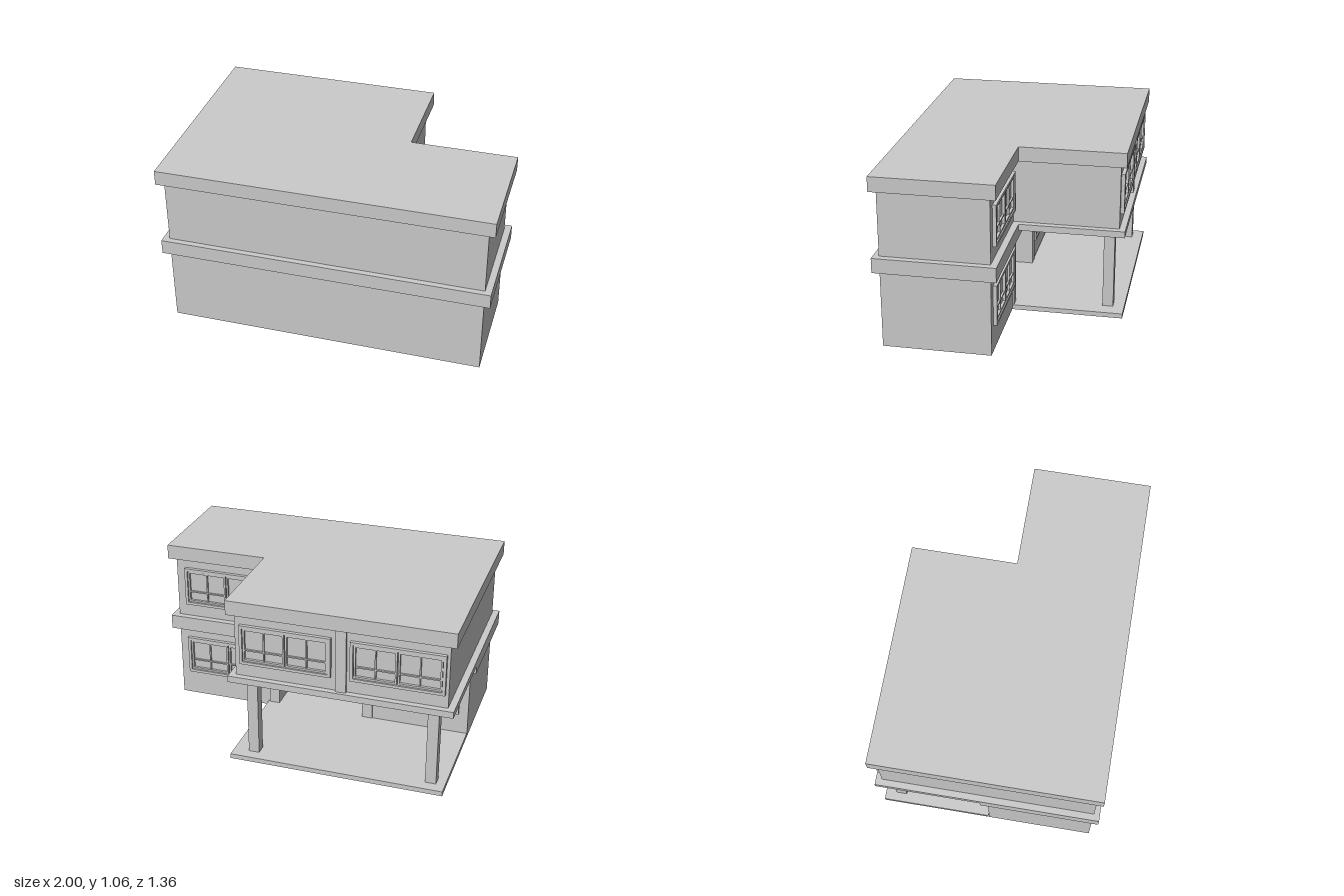
import * as THREE from 'three';

const grey = new THREE.MeshStandardMaterial({ color: 0xcccccc, flatShading: true });
const greyThin = new THREE.MeshStandardMaterial({ color: 0xcccccc, flatShading: true, side: THREE.DoubleSide });

// Box given by its extents on each axis
function box(parent, name, x0, x1, y0, y1, z0, z1) {
  const mesh = new THREE.Mesh(new THREE.BoxGeometry(x1 - x0, y1 - y0, z1 - z0), grey);
  mesh.position.set((x0 + x1) / 2, (y0 + y1) / 2, (z0 + z1) / 2);
  mesh.name = name;
  parent.add(mesh);
  return mesh;
}

// Flat slab with an outline in x and z
function slab(parent, name, outline, y0, y1) {
  const shape = new THREE.Shape(outline.map(([x, z]) => new THREE.Vector2(x, z)));
  const geo = new THREE.ExtrudeGeometry(shape, { depth: y1 - y0, bevelEnabled: false });
  geo.rotateX(Math.PI / 2).translate(0, y1, 0);
  const mesh = new THREE.Mesh(geo, grey);
  mesh.name = name;
  parent.add(mesh);
}

// Thin upright walls along a closed outline, open above and below
function wallLoop(parent, name, outline, y0, y1) {
  const pos = [];
  outline.forEach(([ax, az], i) => {
    const [bx, bz] = outline[(i + 1) % outline.length];
    pos.push(ax, y0, az, ax, y1, az, bx, y1, bz, ax, y0, az, bx, y1, bz, bx, y0, bz);
  });
  const geo = new THREE.BufferGeometry();
  geo.setAttribute('position', new THREE.Float32BufferAttribute(pos, 3));
  geo.computeVertexNormals();
  const mesh = new THREE.Mesh(geo, greyThin);
  mesh.name = name;
  parent.add(mesh);
}

// Framed opening on a wall facing -z: outer frame, sashes and glazing bars
function glazing(parent, name, cx, y0, y1, wallZ, width, sashes, columns, railAt) {
  const g = new THREE.Group();
  g.name = name;
  const x0 = cx - width / 2, x1 = cx + width / 2, t = 0.018;
  const front = wallZ - 0.022, back = wallZ + 0.002;
  box(g, 'frameSide', x0, x0 + t, y0, y1, front, back);
  box(g, 'frameSide', x1 - t, x1, y0, y1, front, back);
  box(g, 'frameHead', x0 + t, x1 - t, y1 - t, y1, front, back);
  box(g, 'frameSill', x0 + t, x1 - t, y0, y0 + t, front, back);
  const sw = (width - 2 * t) / sashes, s = 0.011, b = 0.008;
  for (let i = 0; i < sashes; i++) {
    const a = x0 + t + i * sw + 0.003, e = a + sw - 0.006;
    const lo = y0 + t + 0.003, hi = y1 - t - 0.003, f = wallZ - 0.016;
    box(g, 'sashSide', a, a + s, lo, hi, f, back);
    box(g, 'sashSide', e - s, e, lo, hi, f, back);
    box(g, 'sashTop', a + s, e - s, hi - s, hi, f, back);
    box(g, 'sashBottom', a + s, e - s, lo, lo + s, f, back);
    const rail = lo + (hi - lo) * railAt;
    box(g, 'glazingBar', a + s, e - s, rail - b / 2, rail + b / 2, wallZ - 0.012, back);
    for (let c = 1; c < columns; c++) {
      const x = a + (e - a) * c / columns;
      box(g, 'glazingBar', x - b / 2, x + b / 2, lo + s, hi - s, wallZ - 0.012, back);
    }
  }
  parent.add(g);
}

export function createModel() {
  const house = new THREE.Group();
  house.name = 'house';

  // Ground floor shell with the entrance recess in the back wall
  wallLoop(house, 'groundFloorWalls', [
    [0.96, 0.645], [0.96, 0], [0.28, 0], [0.28, 0.2],
    [-0.28, 0.2], [-0.28, 0], [-0.96, 0], [-0.96, 0.645],
  ], 0, 0.49);

  // Porch floor reaching into the recess
  slab(house, 'porchFloor', [
    [0.355, -0.68], [0.355, 0.2], [-0.285, 0.2], [-0.285, -0.005], [-0.96, -0.005], [-0.96, -0.68],
  ], 0, 0.03);

  // Ledge between the floors and the floor of the overhanging wing
  box(house, 'floorBand', -1, 1, 0.48, 0.57, -0.04, 0.68);
  box(house, 'wingFloor', -1, 0.355, 0.53, 0.57, -0.68, -0.04);

  // Upper storey, L-shaped, and its roof
  slab(house, 'upperWalls', [
    [-0.96, 0.645], [0.96, 0.645], [0.96, 0], [0.315, 0], [0.315, -0.643], [-0.96, -0.643],
  ], 0.57, 0.97);
  slab(house, 'roof', [
    [-1, 0.68], [1, 0.68], [1, -0.04], [0.355, -0.04], [0.355, -0.68], [-1, -0.68],
  ], 0.97, 1.06);

  // Posts carrying the wing
  for (const x of [0.228, -0.873]) box(house, 'porchPost', x - 0.033, x + 0.033, 0.03, 0.53, -0.612, -0.546);

  // Flat pilasters beside the recess and between the wing windows
  for (const x of [0.313, -0.313]) box(house, 'pilaster', x - 0.033, x + 0.033, 0, 0.48, -0.01, 0.005);
  box(house, 'pilaster', -0.365, -0.3, 0.57, 0.97, -0.66, -0.64);

  // Windows of both storeys
  const w = 0.555;
  for (const x of [0.625, -0.625]) glazing(house, 'groundWindow', x, 0.165, 0.415, 0, w, 2, 2, 0.33);
  glazing(house, 'upperWindow', 0.625, 0.655, 0.905, 0, w, 2, 2, 0.33);
  for (const x of [0.005, -0.665]) glazing(house, 'wingWindow', x, 0.655, 0.905, -0.643, w, 2, 2, 0.33);

  // Glazed double door at the back of the recess
  glazing(house, 'entranceDoor', 0, 0.03, 0.43, 0.2, 0.42, 2, 2, 0.4);

  return house;
}
